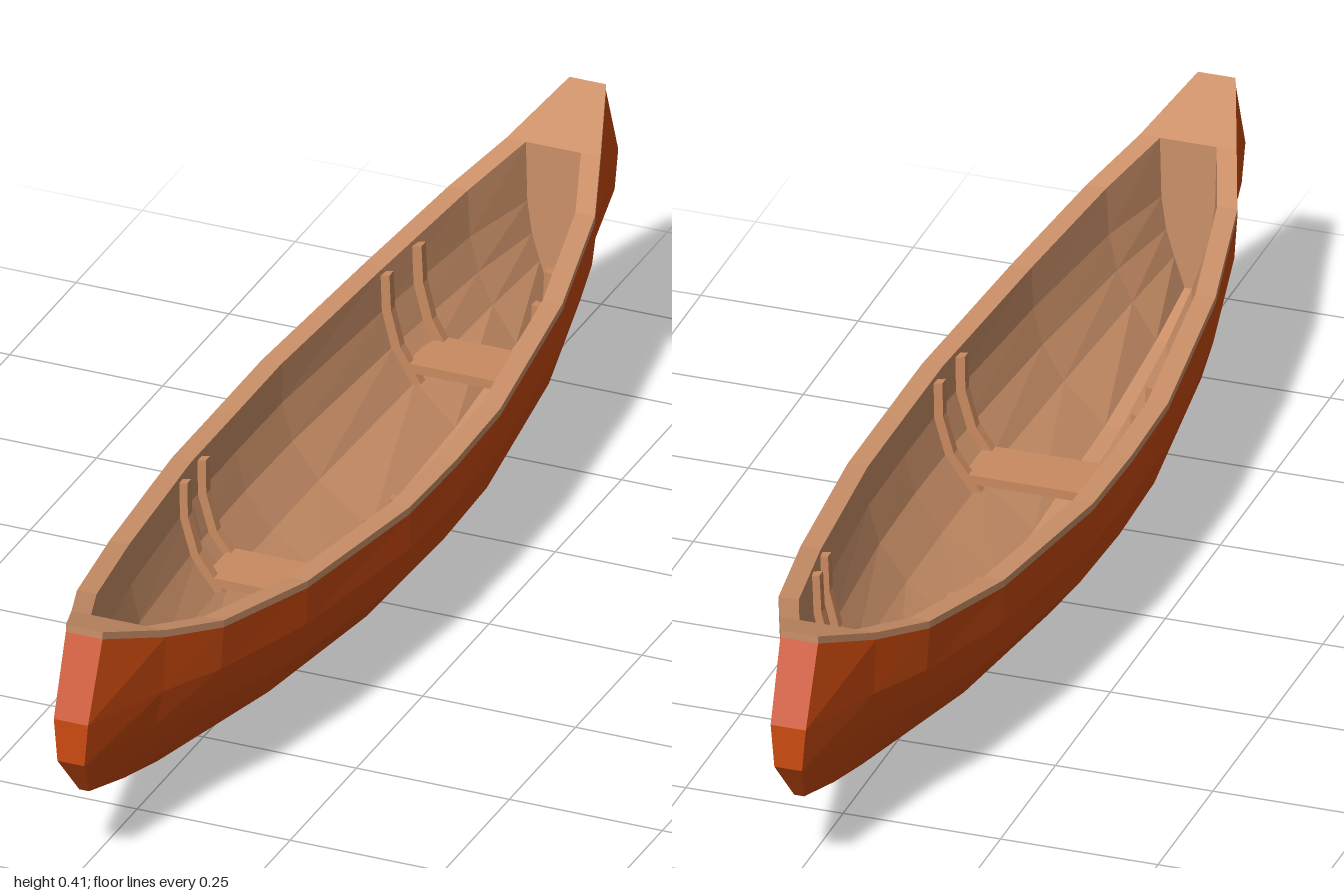
import * as THREE from 'three';

// Half cross-sections: z, then [x, y] from keel to rim
const STATIONS = [
  [0, [[0.02, 0], [0.125, 0.065], [0.177, 0.13], [0.197, 0.197], [0.197, 0.268]]],
  [0.17, [[0.02, 0.003], [0.122, 0.068], [0.173, 0.132], [0.194, 0.199], [0.195, 0.271]]],
  [0.48, [[0.016, 0.025], [0.098, 0.088], [0.14, 0.15], [0.159, 0.215], [0.162, 0.29]]],
  [0.7, [[0.012, 0.06], [0.064, 0.118], [0.096, 0.175], [0.115, 0.238], [0.12, 0.322]]],
  [0.82, [[0.01, 0.09], [0.038, 0.14], [0.06, 0.19], [0.073, 0.25], [0.077, 0.355]]],
  [0.95, [[0.008, 0.13], [0.015, 0.165], [0.022, 0.2], [0.028, 0.27], [0.03, 0.405]]],
];
const STEM_Z = [0.95, 0.975, 1, 1, 0.95];
const WALL = 0.032;
const BAND = 0.012;

// Section at any z, as [x, y, z] points from keel to rim
function section(z) {
  const a = Math.abs(z);
  let i = 0;
  while (i < STATIONS.length - 2 && a > STATIONS[i + 1][0]) i++;
  const [z0, p] = STATIONS[i];
  const [z1, q] = STATIONS[i + 1];
  const t = (a - z0) / (z1 - z0);
  return p.map(([x, y], j) => [
    x + (q[j][0] - x) * t,
    y + (q[j][1] - y) * t,
    a > 0.94 ? Math.sign(z) * STEM_Z[j] : z,
  ]);
}

// Inner wall of the hull at z
function innerSection(z) {
  const s = section(z);
  const k = (s[4][0] - WALL) / s[4][0];
  return s.map(([x, y, zz], j) => [x * k, y + [0.018, 0.018, 0.012, 0.006, 0][j], zz]);
}

const mirror = (p) => [-p[0], p[1], p[2]];
// Ring from the +x rim under the keel to the -x rim
const ring = (s) => [...s].reverse().concat(s.map(mirror));

// Flat-faced surface through rows of points
function loft(...strips) {
  const v = [];
  for (const rows of strips) {
    for (let i = 0; i + 1 < rows.length; i++) {
      for (let j = 0; j + 1 < rows[i].length; j++) {
        const a = rows[i][j], b = rows[i + 1][j], c = rows[i + 1][j + 1], d = rows[i][j + 1];
        v.push(...a, ...b, ...c, ...a, ...c, ...d);
      }
    }
  }
  const g = new THREE.BufferGeometry();
  g.setAttribute('position', new THREE.Float32BufferAttribute(v, 3));
  g.computeVertexNormals();
  return g;
}

// Closing face across a half section, facing +z or -z
function cap(s, dir) {
  const right = [...s].reverse();
  const left = right.map(mirror);
  return dir > 0 ? [right, left] : [left, right];
}

export function createModel() {
  const paint = new THREE.MeshStandardMaterial({ color: 0xcb4a0e });
  paint.name = 'orange paint';
  const wood = new THREE.MeshStandardMaterial({ color: 0xcb9068 });
  wood.name = 'light wood';
  const seatWood = new THREE.MeshStandardMaterial({ color: 0xc98a60 });
  seatWood.name = 'seat wood';

  const group = new THREE.Group();
  group.name = 'canoe';
  const add = (name, geometry, material, parent = group) => {
    const m = new THREE.Mesh(geometry, material);
    m.name = name;
    parent.add(m);
    return m;
  };

  const half = STATIONS.map((s) => s[0]);
  const allZ = [...half.slice(1).reverse().map((z) => -z), ...half];
  const openZ = allZ.filter((z) => Math.abs(z) < 0.9);

  // Outer hull with blunt stems, stopping just under the gunwale
  const outer = (z) => {
    const s = section(z);
    s[4][1] -= BAND;
    return s;
  };
  add('hull', loft(
    allZ.map((z) => ring(outer(z))),
    cap(outer(0.95), 1),
    cap(outer(-0.95), -1),
  ), paint);

  // Inner hull with end walls
  add('innerHull', loft(
    openZ.map((z) => ring(innerSection(z)).reverse()),
    cap(innerSection(0.82), -1),
    cap(innerSection(-0.82), 1),
  ), wood);

  // Gunwale along both sides
  const rail = (z) => {
    const [x, y, zz] = section(z)[4];
    return [[x - WALL, y, zz], [x, y, zz], [x, y - BAND, zz]];
  };
  add('gunwale', loft(
    openZ.map(rail),
    openZ.map((z) => rail(z).map(mirror).reverse()),
  ), wood);

  // Small decks closing the bow and stern
  const deckRow = (z) => {
    const [x, y, zz] = section(z)[4];
    return [[-x, y - BAND, zz], [-x, y, zz], [x, y, zz], [x, y - BAND, zz]];
  };
  const deckEnd = (dir) => {
    const [x, y, z] = section(0.95 * dir)[4];
    return cap([[x, y - BAND, z], [x, y, z]], dir);
  };
  add('bowDeck', loft([deckRow(0.82), deckRow(0.95)], deckEnd(1)), wood);
  add('sternDeck', loft([deckRow(-0.95), deckRow(-0.82)], deckEnd(-1)), wood);

  // Seats: a plank hung on two curved brackets at each side
  for (const [name, z] of [['frontSeat', 0.18], ['rearSeat', -0.52]]) {
    const seat = new THREE.Group();
    seat.name = name;
    group.add(seat);
    const wall = innerSection(z);
    const plank = new THREE.BoxGeometry(2 * (wall[1][0] + 0.015), 0.015, 0.1);
    add('seatPlank', plank, seatWood, seat).position.set(0, wall[1][1] + 0.022, z);

    for (const dz of [-0.042, 0.042]) {
      const side = innerSection(z + dz).slice(1).map(([x, y]) => [x, y]);
      side[3][1] -= 0.01;
      const outline = [
        ...side.map(([x, y]) => new THREE.Vector2(x + 0.004, y)),
        ...side.map(([x, y]) => new THREE.Vector2(x - 0.014, y + 0.004)).reverse(),
      ];
      for (const sx of [1, -1]) {
        const shape = new THREE.Shape(outline.map((p) => new THREE.Vector2(p.x * sx, p.y)));
        const bracket = new THREE.ExtrudeGeometry(shape, { depth: 0.016, bevelEnabled: false });
        add('seatBracket', bracket, seatWood, seat).position.z = z + dz - 0.008;
      }
    }
  }
  return group;
}
